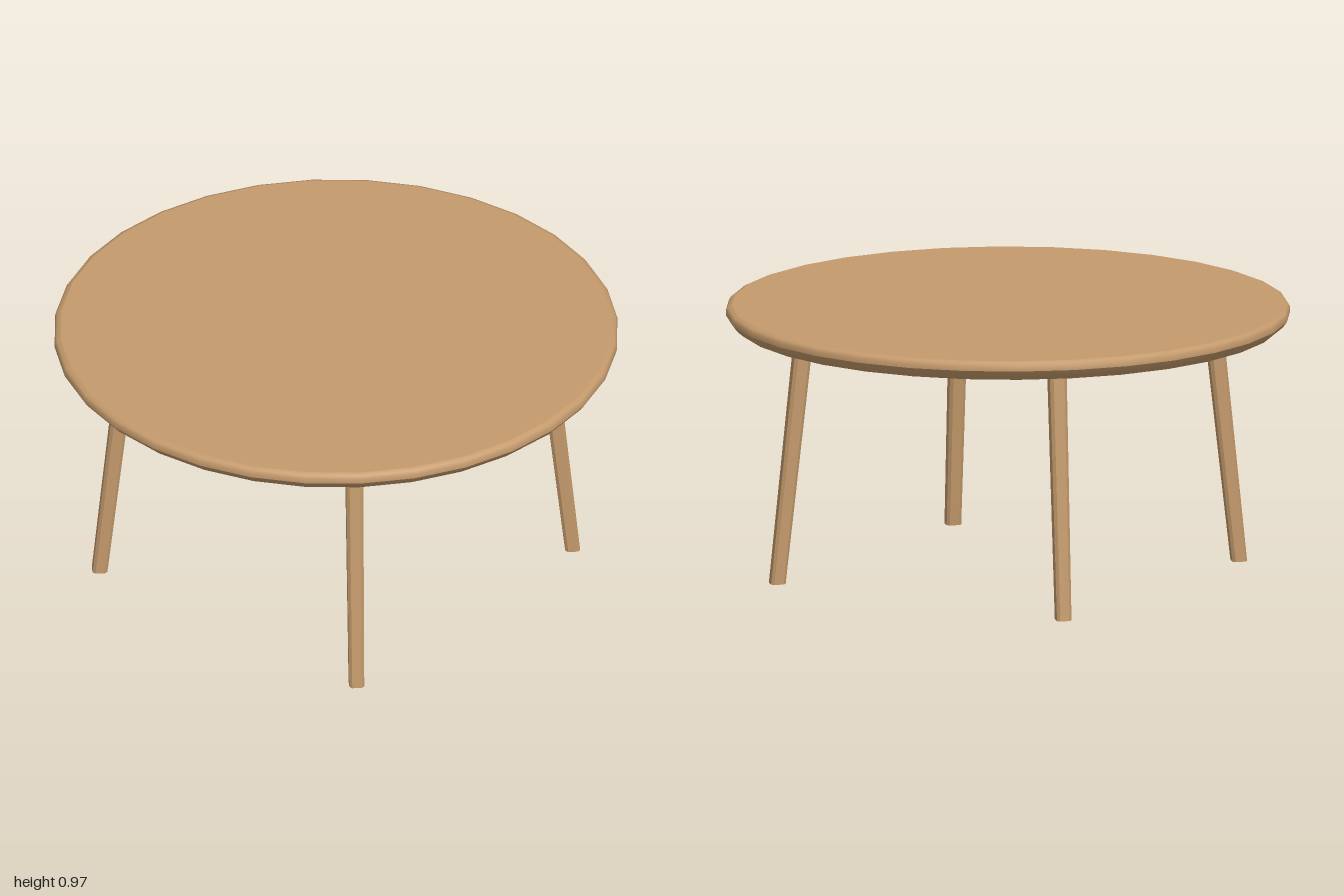
import * as THREE from 'three';

const wood = new THREE.MeshStandardMaterial({ color: 0xc49a6c });
wood.name = 'wood';

const TOP_UNDERSIDE = 0.9;

// Square cross-section with cut corners, one unit wide
function legSection(cut) {
  const h = 0.5, k = 0.5 - cut;
  return new THREE.Shape([
    [h, -k], [h, k], [k, h], [-k, h], [-h, k], [-h, -k], [-k, -h], [k, -h],
  ].map(([x, y]) => new THREE.Vector2(x, y)));
}

// Leg that widens upward and leans in toward the centre along +x, +z
function legGeometry() {
  const geo = new THREE.ExtrudeGeometry(legSection(0.18), { depth: TOP_UNDERSIDE, bevelEnabled: false });
  geo.rotateX(-Math.PI / 2).rotateY(Math.PI / 4);
  const p = geo.attributes.position;
  for (let i = 0; i < p.count; i++) {
    const t = p.getY(i) / TOP_UNDERSIDE;
    const width = THREE.MathUtils.lerp(0.053, 0.062, t);
    const offset = THREE.MathUtils.lerp(0.594, 0.525, t);
    p.setXYZ(i, p.getX(i) * width + offset, p.getY(i), p.getZ(i) * width + offset);
  }
  geo.computeVertexNormals();
  return geo;
}

export function createModel() {
  const table = new THREE.Group();
  table.name = 'roundTable';

  // Round top with a softened upper rim and undercut lower rim; doubled points keep edges crisp
  const profile = [
    [0, 0.9], [0.965, 0.9], [0.965, 0.9], [0.985, 0.917], [1, 0.937], [1, 0.937],
    [1, 0.953], [0.993, 0.964], [0.978, 0.97], [0.978, 0.97], [0, 0.97],
  ].map(([r, y]) => new THREE.Vector2(r, y));
  const top = new THREE.Mesh(new THREE.LatheGeometry(profile, 32), wood);
  top.name = 'tableTop';
  table.add(top);

  // Four splayed legs
  const geo = legGeometry();
  ['frontLeftLeg', 'backLeftLeg', 'backRightLeg', 'frontRightLeg'].forEach((name, i) => {
    const leg = new THREE.Mesh(geo, wood);
    leg.name = name;
    leg.rotation.y = i * Math.PI / 2;
    table.add(leg);
  });

  return table;
}
